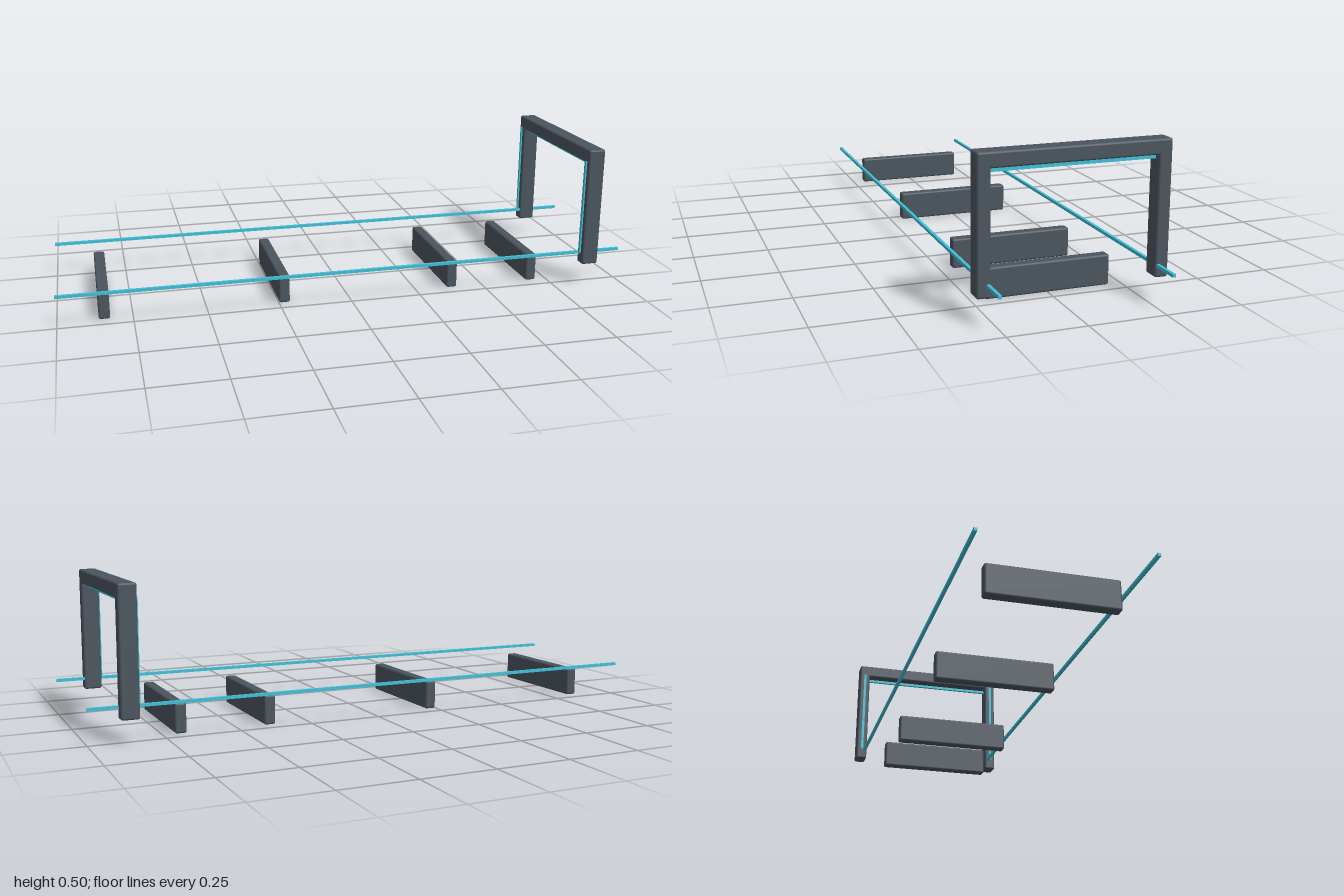
import * as THREE from 'three';
import { RoundedBoxGeometry } from 'three/addons/geometries/RoundedBoxGeometry.js';

export function createModel() {
  const model = new THREE.Group();
  model.name = 'gatedTrack';

  const steel = new THREE.MeshStandardMaterial({ color: 0x4b555e });
  steel.name = 'slateGrey';
  const glow = new THREE.MeshStandardMaterial({ color: 0x40c0d8 });
  glow.name = 'cyan';

  const add = (name, geometry, material, parent, x, y, z) => {
    const mesh = new THREE.Mesh(geometry, material);
    mesh.name = name;
    mesh.position.set(x, y, z);
    parent.add(mesh);
  };
  const block = (w, h, d) => new RoundedBoxGeometry(w, h, d, 2, 0.007);

  // Cross supports standing on the ground
  const supports = new THREE.Group();
  supports.name = 'supports';
  for (const x of [-0.845, -0.23, 0.384, 0.69]) {
    add('support', block(0.038, 0.1, 0.414), steel, supports, x, 0.05, 0);
  }

  // Gate: two posts, a top beam and thin light strips
  const gate = new THREE.Group();
  gate.name = 'gate';
  gate.position.x = 0.874;
  add('beam', block(0.06, 0.048, 0.604), steel, gate, 0, 0.479, 0);
  add('beamLight', new THREE.BoxGeometry(0.01, 0.01, 0.524), glow, gate, 0, 0.445, 0);

  // Mirrored posts, post lights and long guide rails
  for (const side of [-1, 1]) {
    add('post', block(0.06, 0.423, 0.042), steel, gate, 0, 0.2915, side * 0.281);
    add('postLight', new THREE.BoxGeometry(0.01, 0.34, 0.01), glow, gate, -0.03, 0.29, side * 0.281);
    add('rail', new THREE.BoxGeometry(2, 0.01, 0.01), glow, model, 0, 0.118, side * 0.268);
  }

  model.add(supports, gate);
  return model;
}
